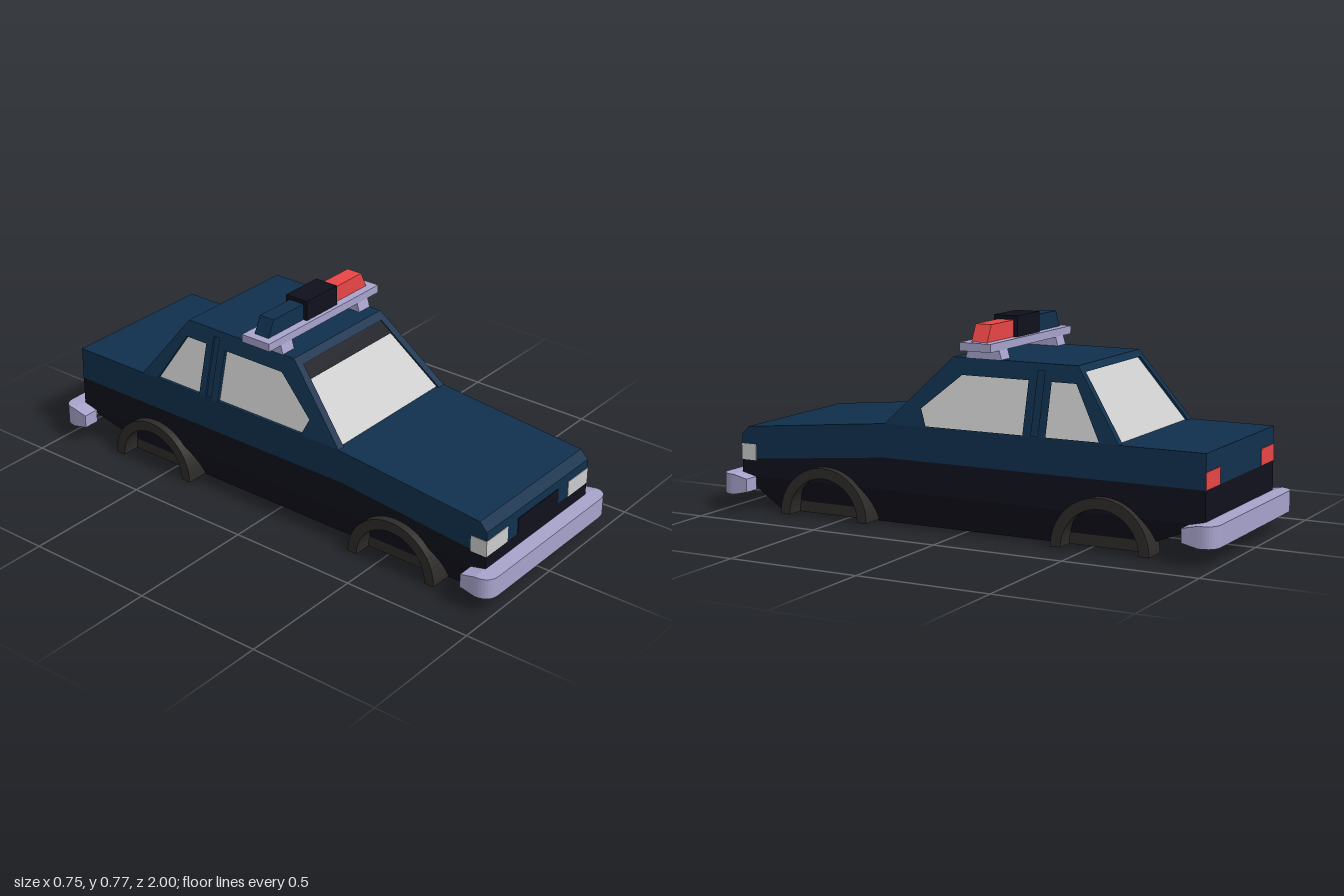
import * as THREE from 'three';

const mat = (color) => new THREE.MeshStandardMaterial({ color, flatShading: true });
const NAVY = mat(0x10304d), BLACK = mat(0x0f101c), GLASS = mat(0xcccccc),
  TYRE = mat(0x2d2b29), LILAC = mat(0xa7a3cc), RED = mat(0xe84545);

const lerp = THREE.MathUtils.lerp;
const BELT = 0.376, ROOF = 0.628, HALF = 0.3125;
const rise = (y) => (y - BELT) / (ROOF - BELT);
const toShape = (pts) => new THREE.Shape(pts.map(([x, y]) => new THREE.Vector2(x, y)));

// Move every vertex by a rule, then refresh the normals
function warp(geo, rule) {
  const p = geo.attributes.position, v = new THREE.Vector3();
  for (let i = 0; i < p.count; i++) {
    v.fromBufferAttribute(p, i);
    rule(v);
    p.setXYZ(i, v.x, v.y, v.z);
  }
  geo.computeVertexNormals();
  return geo;
}

// Side profile of [z, y] points, extruded across x from x0 to x1
function profile(shape, x0, x1) {
  return new THREE.ExtrudeGeometry(shape, { depth: x1 - x0, bevelEnabled: false, curveSegments: 16 })
    .rotateY(-Math.PI / 2).translate(x1, 0, 0);
}

// Leaning cabin panel: its outer face goes from distance base at the belt to top at the roof
function panel(outline, holes, base, top, angle, depth = 0.02) {
  const shape = toShape(outline);
  holes.forEach((h) => shape.holes.push(toShape(h)));
  const geo = new THREE.ExtrudeGeometry(shape, { depth, bevelEnabled: false });
  return warp(geo, (v) => { v.z += lerp(base, top, rise(v.y)) - depth; }).rotateY(angle);
}

// Solid slice of the cabin volume between two heights
function cabinBlock(y0, y1, inset) {
  return warp(new THREE.BoxGeometry(1, 1, 1), (v) => {
    const y = v.y < 0 ? y0 : y1, t = rise(y);
    v.x = Math.sign(v.x) * (lerp(HALF, 0.25, t) - inset);
    v.z = v.z > 0 ? lerp(0.31, 0.06, t) - inset : lerp(-0.62, -0.435, t) + inset;
    v.y = y;
  });
}

export function createModel() {
  const car = new THREE.Group();
  car.name = 'patrolCar';
  const add = (name, geo, material) => {
    const m = new THREE.Mesh(geo, material);
    m.name = name;
    car.add(m);
    return m;
  };
  const box = (name, material, x0, x1, y0, y1, z0, z1) =>
    add(name, new THREE.BoxGeometry(x1 - x0, y1 - y0, z1 - z0)
      .translate((x0 + x1) / 2, (y0 + y1) / 2, (z0 + z1) / 2), material);

  // Body: painted upper, dark lower band, tapered underside
  add('upperBody', profile(toShape([[0.94, 0.19], [0.94, 0.285], [0.91, 0.317], [0.31, BELT],
    [-0.94, BELT], [-0.94, 0.25], [0.32, 0.25]]), -HALF, HALF), NAVY);
  add('lowerBody', profile(toShape([[0.94, 0.13], [0.94, 0.19], [0.32, 0.25], [-0.94, 0.25],
    [-0.94, 0.13]]), -HALF, HALF), BLACK);
  add('underside', warp(profile(toShape([[0.94, 0.13], [0.81, 0], [-0.63, 0], [-0.94, 0.13]]),
    -HALF, HALF), (v) => { if (v.y < 0.06) v.x *= 0.8; }), BLACK);

  // Cabin: glass core, roof and framed openings
  add('glass', cabinBlock(BELT - 0.01, 0.615, 0.012), GLASS);
  add('roof', cabinBlock(0.606, ROOF, 0), NAVY);
  const arch = [[-HALF, BELT], [-0.25, ROOF], [0.25, ROOF], [HALF, BELT],
    [0.283, BELT], [0.225, 0.605], [-0.225, 0.605], [-0.283, BELT]];
  add('windscreenFrame', panel(arch, [], 0.31, 0.06, 0), NAVY);
  add('rearWindowFrame', panel(arch, [], 0.62, 0.435, Math.PI), NAVY);
  add('sunStrip', panel([[-0.238, 0.56], [0.238, 0.56], [0.227, 0.607], [-0.227, 0.607]],
    [], 0.304, 0.054, 0, 0.01), BLACK);

  const sideOutline = [[0.31, BELT], [0.06, ROOF], [-0.435, ROOF], [-0.62, BELT]];
  const frontWindow = [[0.14, 0.379], [0.167, 0.44], [0.016, 0.567], [-0.25, 0.567], [-0.25, 0.379]];
  const rearWindow = [[-0.34, 0.379], [-0.34, 0.567], [-0.435, 0.567], [-0.545, 0.379]];
  const doorGap = [[-0.283, 0.379], [-0.283, 0.603], [-0.31, 0.603], [-0.31, 0.379]];
  const pillar = [[-0.27, BELT], [-0.27, 0.61], [-0.32, 0.61], [-0.32, BELT]];
  for (const s of [1, -1]) {
    const side = s > 0 ? 'left' : 'right';
    const face = (pts) => pts.map(([z, y]) => [-s * z, y]);
    add(side + 'WindowFrame', panel(face(sideOutline), [frontWindow, rearWindow, doorGap].map(face),
      HALF, 0.25, s * Math.PI / 2), NAVY);
    add(side + 'DoorPillar', panel(face(pillar), [], HALF - 0.008, 0.242, s * Math.PI / 2, 0.012), NAVY);
  }

  // Grille and lamps
  box('grille', BLACK, -0.125, 0.125, 0.19, 0.252, 0.9, 0.942);
  for (const s of [1, -1]) {
    const c = s * 0.251, side = s > 0 ? 'left' : 'right';
    box(side + 'Headlamp', GLASS, c - 0.0635, c + 0.0635, 0.19, 0.251, 0.877, 0.942);
    box(side + 'TailLamp', RED, c - 0.061, c + 0.061, 0.25, 0.312, -0.942, -0.92);
  }

  // Wrap-around bumpers with rounded corners and thinner tips
  const b = new THREE.Shape();
  b.moveTo(0.375, 0.88);
  b.lineTo(0.375, 0.94);
  b.quadraticCurveTo(0.375, 1, 0.315, 1);
  b.lineTo(-0.315, 1);
  b.quadraticCurveTo(-0.375, 1, -0.375, 0.94);
  b.lineTo(-0.375, 0.88);
  b.lineTo(-HALF, 0.88);
  b.lineTo(-HALF, 0.938);
  b.lineTo(HALF, 0.938);
  b.lineTo(HALF, 0.88);
  const bumper = warp(new THREE.ExtrudeGeometry(b, { depth: 0.077, bevelEnabled: false, curveSegments: 8 })
    .rotateX(Math.PI / 2).translate(0, 0.142, 0), (v) => {
    if (v.z < 0.9) v.y = lerp(0.1035, v.y, 0.65);
  });
  add('frontBumper', bumper, LILAC);
  add('rearBumper', bumper.clone().rotateY(Math.PI), LILAC);

  // Half wheels: projecting tyre arch around a recessed hub
  const tyre = new THREE.Shape();
  tyre.absarc(0, 0, 0.1875, 0, Math.PI, false);
  tyre.absarc(0, 0, 0.148, Math.PI, 0, true);
  const hub = new THREE.Shape();
  hub.absarc(0, 0, 0.15, 0, Math.PI, false);
  for (const z of [0.5625, -0.5625]) for (const s of [1, -1]) {
    const name = (z > 0 ? 'front' : 'rear') + (s > 0 ? 'Left' : 'Right');
    const span = (a, c) => (s > 0 ? [a, c] : [-c, -a]);
    add(name + 'Tyre', profile(tyre, ...span(0.25, 0.342)), TYRE).position.set(0, 0.005, z);
    add(name + 'Hub', profile(hub, ...span(0.24, 0.272)), TYRE).position.set(0, 0.005, z);
  }

  // Roof light bar
  box('lightBarBase', LILAC, -HALF, HALF, 0.66, 0.69, -0.125, 0);
  box('lightBarCentre', BLACK, -0.086, 0.086, 0.69, 0.766, -0.11, -0.015);
  for (const s of [1, -1]) {
    const lens = new THREE.ExtrudeGeometry(toShape([[s * 0.08, 0.688], [s * 0.281, 0.688],
      [s * 0.25, 0.751], [s * 0.08, 0.751]]), { depth: 0.063, bevelEnabled: false });
    add(s > 0 ? 'redLight' : 'blueLight', lens.translate(0, 0, -0.094), s > 0 ? RED : NAVY);
    const foot = toShape([[0.012, 0.62], [0.0, 0.661], [-0.125, 0.661], [-0.137, 0.62]]);
    add(s > 0 ? 'leftBarMount' : 'rightBarMount',
      profile(foot, s > 0 ? 0.1875 : -0.25, s > 0 ? 0.25 : -0.1875), LILAC);
  }
  return car;
}
